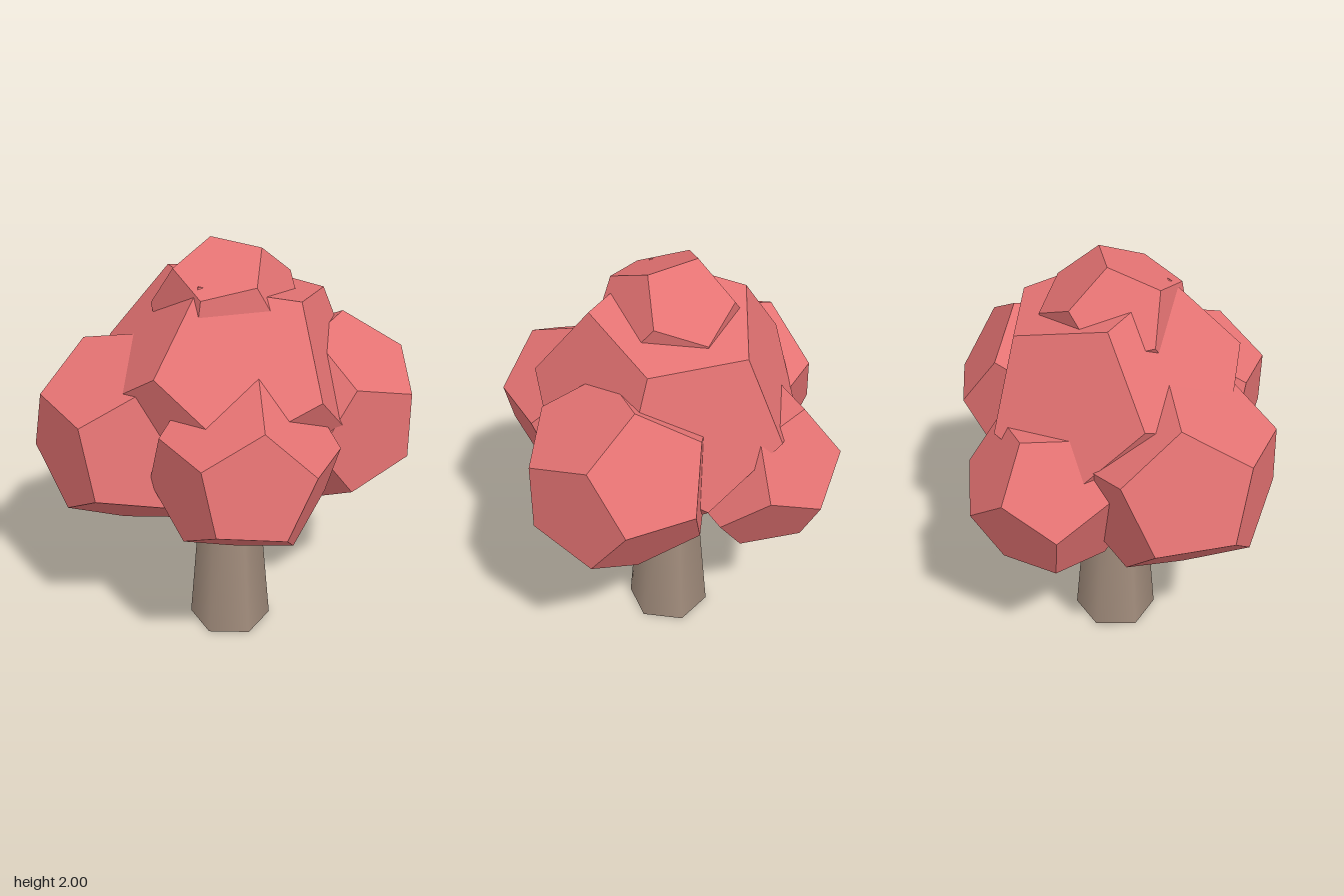
import * as THREE from 'three';

const leafMaterial = new THREE.MeshStandardMaterial({ color: 0xe57373, flatShading: true });
const barkMaterial = new THREE.MeshStandardMaterial({ color: 0xa08b7b });

// Leaf clump: a dodecahedron turned so that one edge lies towards `out`
// from its centre and runs along `edge`.
function leafClump(name, radius, centre, out, edge) {
  const z = new THREE.Vector3(...out).normalize();
  const x = new THREE.Vector3(...edge).cross(z).normalize();
  const y = z.clone().cross(x);
  const clump = new THREE.Mesh(new THREE.DodecahedronGeometry(radius), leafMaterial);
  clump.name = name;
  clump.quaternion.setFromRotationMatrix(new THREE.Matrix4().makeBasis(x, y, z));
  clump.position.set(...centre);
  return clump;
}

export function createModel() {
  const tree = new THREE.Group();
  tree.name = 'tree';

  // Tapered six-sided trunk, its top hidden in the leaves
  const trunkHeight = 1;
  const trunk = new THREE.Mesh(new THREE.CylinderGeometry(0.118, 0.2, trunkHeight, 6), barkMaterial);
  trunk.name = 'trunk';
  trunk.position.set(-0.035, trunkHeight / 2, 0.01);
  tree.add(trunk);

  // Crown: one large clump, a small cap, and four clumps around the sides
  const crown = new THREE.Group();
  crown.name = 'crown';
  crown.add(
    leafClump('middleLeaves', 0.629, [-0.025, 1.3, 0.004], [0.382, 0.407, -0.187], [0.201, -0.005, 0.402]),
    leafClump('topLeaves', 0.347, [-0.037, 1.671, -0.004], [0.165, 0.985, -0.053], [0.153, -0.015, 0.198]),
    leafClump('frontLeaves', 0.43, [-0.174, 1.128, 0.41], [0.062, -0.03, 0.394], [0.143, 0.27, 0]),
    leafClump('backLeaves', 0.402, [0.052, 1.009, -0.426], [0.026, 0.234, -0.294], [0.009, 0.222, 0.175]),
    leafClump('leftLeaves', 0.457, [0.407, 1.155, 0.148], [0.555, 0, 0.832], [0, 1, 0]),
    leafClump('rightLeaves', 0.49, [-0.436, 1.1, -0.166], [-0.396, 0.222, 0.06], [0.044, -0.023, 0.353])
  );
  tree.add(crown);

  return tree;
}
